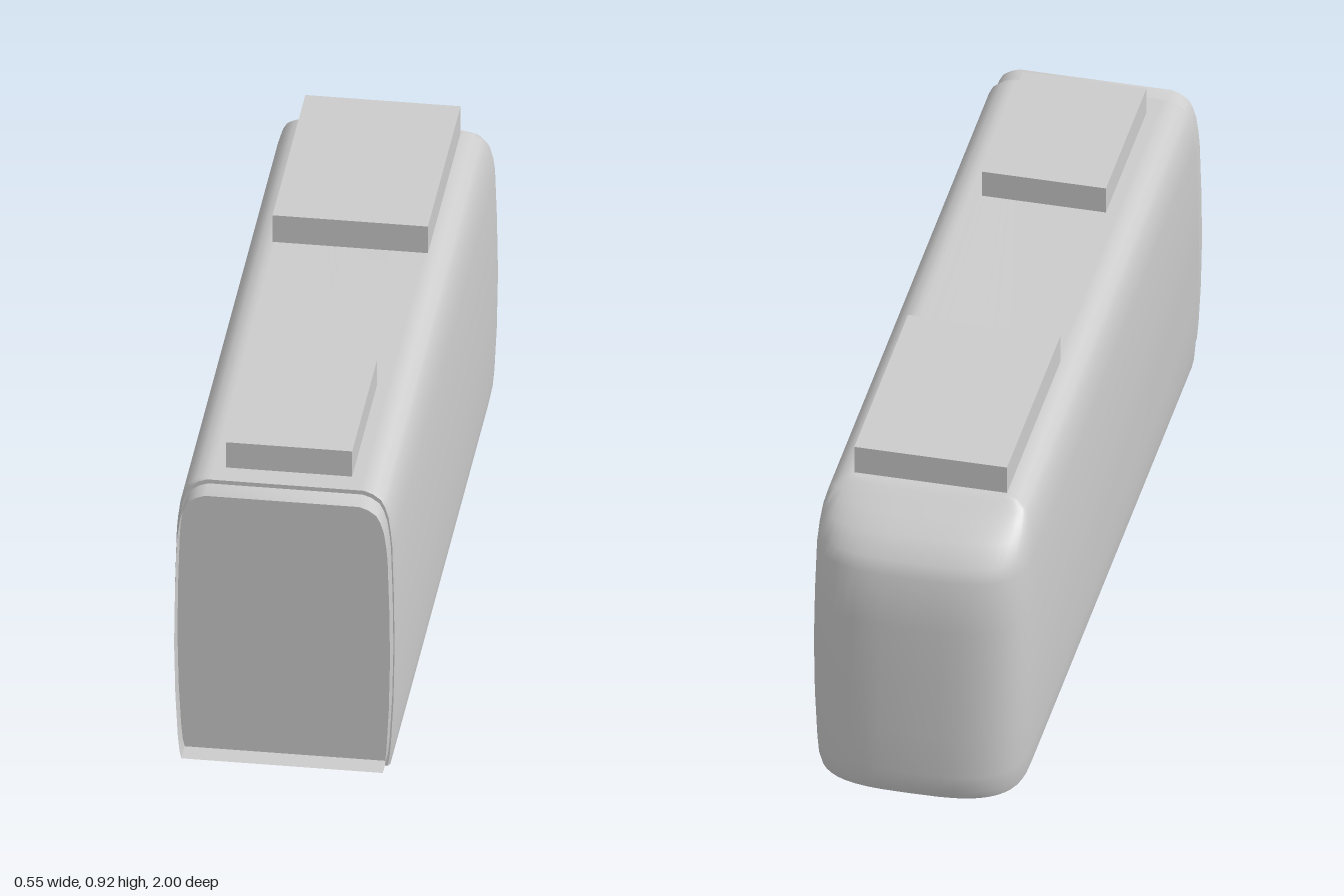
import * as THREE from 'three';
import { toCreasedNormals } from 'three/addons/utils/BufferGeometryUtils.js';

// Body levels: height, half width, z of the nose
const LEVELS = [
  [0.061, 0.258, -0.988], [0.085, 0.263, -0.998], [0.13, 0.267, -1], [0.25, 0.273, -0.997],
  [0.4, 0.276, -0.991], [0.55, 0.274, -0.983], [0.69, 0.27, -0.97], [0.725, 0.267, -0.952],
  [0.77, 0.261, -0.905], [0.8, 0.252, -0.855], [0.82, 0.242, -0.825], [0.835, 0.222, -0.8],
  [0.843, 0.2, -0.785],
];
// Narrower ring at roof height that keeps the roof flat
const ROOF = [0.843, 0.185, -0.781];
const FRONT = 0.94, NOSE = -0.78;

// Skins closed rings of equal length, optionally capping both ends
function loft(rings, capped) {
  const n = rings[0].length, index = [];
  for (let r = 0; r < rings.length - 1; r++) {
    for (let i = 0; i < n; i++) {
      const j = (i + 1) % n, a = r * n + i, b = r * n + j;
      index.push(a, b, b + n, a, b + n, a + n);
    }
  }
  if (capped) {
    const top = (rings.length - 1) * n;
    for (let i = 1; i < n - 1; i++) {
      index.push(0, i + 1, i, top, top + i, top + i + 1);
    }
  }
  const g = new THREE.BufferGeometry();
  g.setAttribute('position', new THREE.Float32BufferAttribute(rings.flat(2), 3));
  g.setIndex(index);
  return toCreasedNormals(g, 0.75);
}

// Horizontal outline of the body at one level, from front left round the nose
function planRing([y, w, end]) {
  const ring = [[w - 0.006, y, FRONT], [w, y, FRONT - 0.01]];
  const steps = 24, e = 2 / 3.2;
  for (let i = 0; i <= steps; i++) {
    const t = (i / steps) * Math.PI, c = Math.cos(t), s = Math.max(0, Math.sin(t));
    ring.push([Math.sign(c) * w * Math.abs(c) ** e, y, NOSE + (end - NOSE) * s ** e]);
  }
  ring.push([-w, y, FRONT - 0.01], [-w + 0.006, y, FRONT]);
  return ring;
}

// Cross-section of the coupling end, slightly inside the body
function endSection() {
  const right = LEVELS.map(([y, w]) => [w - 0.009, THREE.MathUtils.mapLinear(y, 0.061, 0.843, 0.076, 0.832)]);
  return [...right, ...right.map(([x, y]) => [-x, y]).reverse()];
}

export function createModel() {
  const group = new THREE.Group();
  const grey = new THREE.MeshStandardMaterial({ color: 0xcccccc });
  grey.name = 'grey';
  // The collar is an open sleeve, so both faces of it show
  grey.side = THREE.DoubleSide;
  const add = (name, geometry, x = 0, y = 0, z = 0) => {
    const mesh = new THREE.Mesh(geometry, grey);
    mesh.name = name;
    mesh.position.set(x, y, z);
    group.add(mesh);
  };

  // Carriage shell with the rounded nose at the back
  add('body', loft([...LEVELS, ROOF].map(planRing), true));

  // Recessed end wall and the open collar around it
  const section = endSection();
  const outline = new THREE.Shape(section.map(([x, y]) => new THREE.Vector2(x, y)));
  add('endPanel', new THREE.ShapeGeometry(outline), 0, 0, FRONT + 0.002);
  add('gangwayCollar', loft([1, FRONT].map((z) => section.map(([x, y]) => [x, y, z])), false));

  // Roof equipment
  add('frontRoofUnit', new THREE.BoxGeometry(0.312, 0.078, 0.435), 0, 0.876, 0.66);
  add('rearRoofUnit', new THREE.BoxGeometry(0.384, 0.082, 0.575), 0, 0.878, -0.483);

  // Wheels
  const wheel = new THREE.CylinderGeometry(0.065, 0.065, 0.025, 8).rotateZ(Math.PI / 2);
  for (const z of [-0.327, -0.76]) {
    for (const side of [-1, 1]) add('wheel', wheel, side * 0.182, 0.065, z);
  }
  return group;
}
